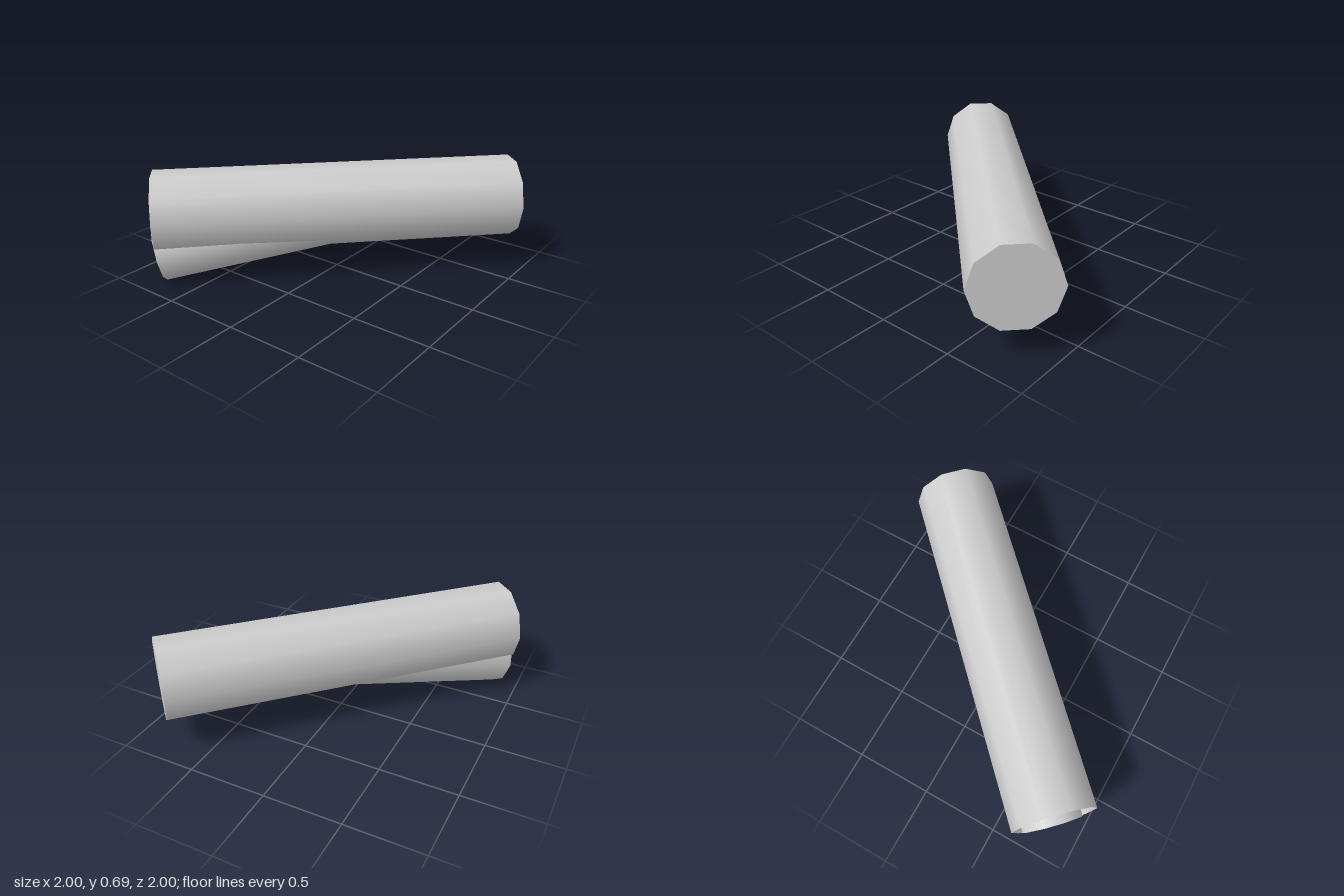
import * as THREE from 'three';

const SIDES = 10;

export function createModel() {
  const model = new THREE.Group();
  const grey = new THREE.MeshStandardMaterial({ color: 0xcccccc, side: THREE.DoubleSide });
  grey.name = 'light grey';

  // A pipe along z: open mouth at the local origin, closed end at z = -length
  function pipe(name, radius, length) {
    const group = new THREE.Group();
    group.name = name;
    const wallShape = new THREE.CylinderGeometry(radius, radius, length, SIDES, 1, true, Math.PI / 2);
    wallShape.rotateX(Math.PI / 2).translate(0, 0, -length / 2);
    const wall = new THREE.Mesh(wallShape, grey);
    wall.name = name + 'Wall';
    const capShape = new THREE.CircleGeometry(radius, SIDES);
    capShape.rotateY(Math.PI).translate(0, 0, -length);
    const cap = new THREE.Mesh(capShape, grey);
    cap.name = name + 'EndCap';
    group.add(wall, cap);
    return group;
  }

  // Both pipes share one vertical plane, turned diagonally
  const junction = new THREE.Group();
  junction.name = 'pipeJunction';
  junction.rotation.y = -Math.PI / 4;

  // Level main pipe
  const mainPipe = pipe('mainPipe', 0.263, 2.302);
  mainPipe.position.set(0, 0.444, 1.151);

  // Narrower branch, sloping up into the main pipe
  const branchPipe = pipe('branchPipe', 0.213, 1.4);
  branchPipe.position.set(0, 0.2, 1.142);
  branchPipe.rotation.x = THREE.MathUtils.degToRad(10);

  junction.add(mainPipe, branchPipe);
  model.add(junction);
  return model;
}
